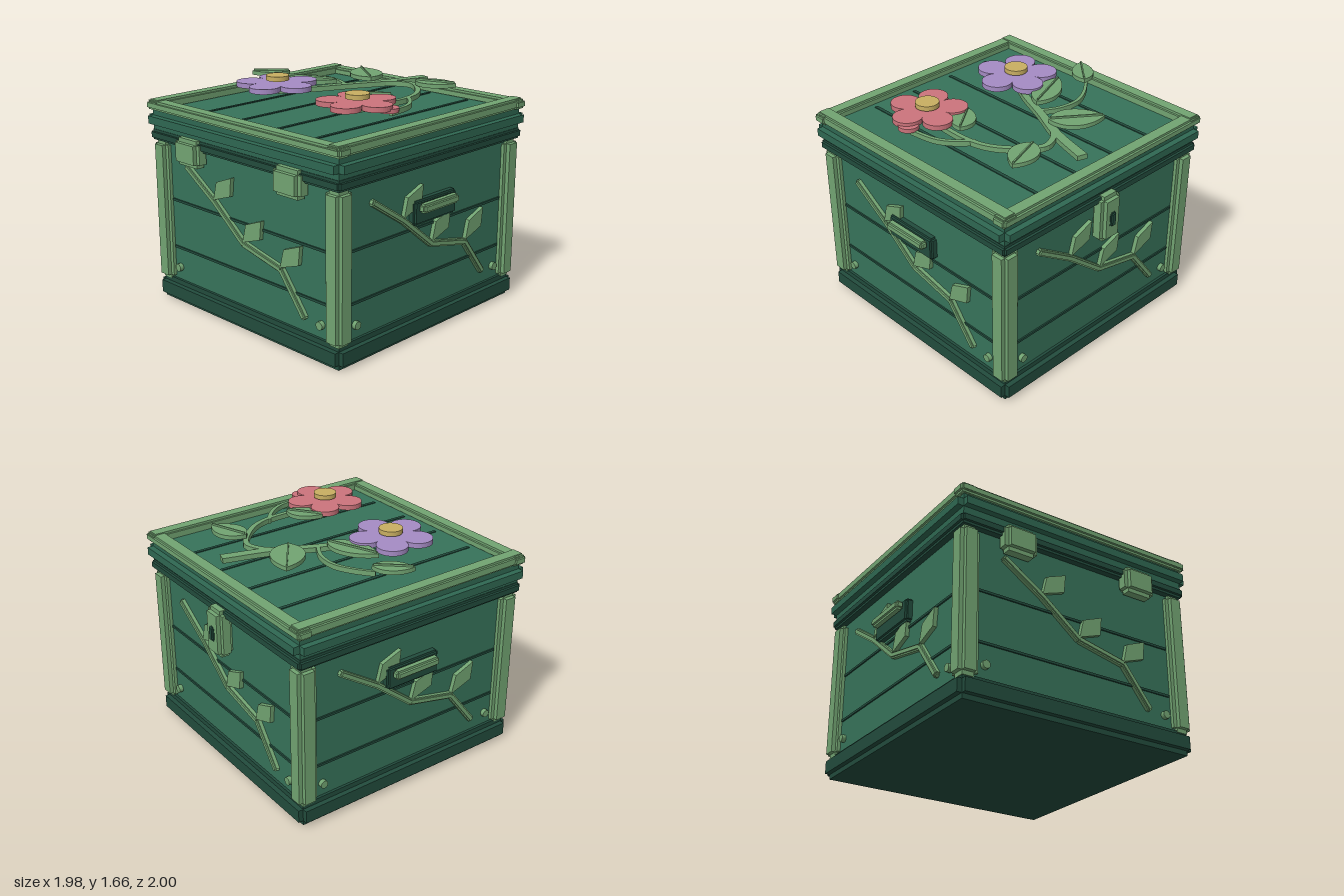
import * as THREE from 'three';
import { mergeGeometries } from 'three/addons/utils/BufferGeometryUtils.js';

const material = (name, color) => {
  const m = new THREE.MeshStandardMaterial({ color });
  m.name = name;
  return m;
};

export function createModel() {
  const panelGreen = material('panel green', 0x37735a);
  const lidGreen = material('lid green', 0x2f6852);
  const darkGreen = material('dark green', 0x224c3d);
  const leafGreen = material('leaf green', 0x72a472);
  const purple = material('petal purple', 0xa58bc4);
  const pink = material('petal pink', 0xcc747c);
  const gold = material('flower gold', 0xc9af62);

  const model = new THREE.Group();
  const chest = new THREE.Group();
  chest.name = 'chest';
  chest.position.z = 0.013;
  model.add(chest);

  const add = (parent, name, geometry, mat, x = 0, y = 0, z = 0) => {
    const mesh = new THREE.Mesh(geometry, mat);
    mesh.name = name;
    mesh.position.set(x, y, z);
    parent.add(mesh);
    return mesh;
  };
  // Block with stepped edges: three crossed boxes, each inset on two axes
  const stepped = (w, h, d, b) => mergeGeometries([
    new THREE.BoxGeometry(w, h - 2 * b, d - 2 * b),
    new THREE.BoxGeometry(w - 2 * b, h, d - 2 * b),
    new THREE.BoxGeometry(w - 2 * b, h - 2 * b, d),
  ]);
  const box = (w, h, d) => new THREE.BoxGeometry(w, h, d);

  // Main body, base, rim and lid
  add(chest, 'body', box(1.76, 1.1, 1.76), panelGreen, 0, 0.69);
  add(chest, 'base', stepped(1.87, 0.166, 1.87, 0.036), darkGreen, 0, 0.083);
  add(chest, 'rim', stepped(1.886, 0.076, 1.886, 0.018), darkGreen, 0, 1.243);
  add(chest, 'lid', stepped(1.936, 0.146, 1.936, 0.045), lidGreen, 0, 1.355);
  add(chest, 'lidPanel', box(1.72, 0.012, 1.72), panelGreen, 0, 1.43);
  for (const x of [-0.535, -0.18, 0.175, 0.53]) {
    add(chest, 'lidGroove', box(0.025, 0.016, 1.63), darkGreen, x, 1.434, -0.008);
  }

  // Raised lid frame and corner posts
  for (const s of [-1, 1]) {
    add(chest, 'lidFrameLong', stepped(1.92, 0.066, 0.112, 0.016), leafGreen, 0, 1.458, s * 0.9);
    add(chest, 'lidFrameSide', stepped(0.112, 0.076, 1.9, 0.016), leafGreen, s * 0.89, 1.462, 0);
    for (const t of [-1, 1]) {
      add(chest, 'cornerPost', stepped(0.145, 1.05, 0.145, 0.03), leafGreen, s * 0.862, 0.68, t * 0.862);
    }
  }

  // Each wall carries grooves, studs and a leafy twig
  const twig = [[-0.59, 1.06], [-0.295, 0.868], [0, 0.632], [0.37, 0.55], [0.585, 0.27]];
  const wallLeaf = new THREE.Shape([[0, 0], [0.035, 0.135], [0.19, 0.195], [0.175, 0.06]]
    .map(([x, y]) => new THREE.Vector2(x, y)));
  for (let i = 0; i < 4; i++) {
    const wall = new THREE.Group();
    wall.name = 'wallDecoration';
    wall.rotation.y = i * Math.PI / 2;
    chest.add(wall);
    for (const y of [0.415, 0.775]) add(wall, 'wallGroove', box(1.56, 0.017, 0.02), darkGreen, 0, y, 0.88);
    for (const s of [-1, 1]) {
      const stud = add(wall, 'stud', new THREE.CylinderGeometry(0.029, 0.029, 0.05, 10), leafGreen, s * 0.73, 0.262, 0.885);
      stud.rotation.x = Math.PI / 2;
    }
    for (let k = 0; k < 4; k++) {
      const [ax, ay] = twig[k], [bx, by] = twig[k + 1];
      const len = Math.hypot(bx - ax, by - ay) + 0.02;
      const piece = add(wall, 'twig', stepped(len, 0.046, 0.07, 0.01), leafGreen, (ax + bx) / 2, (ay + by) / 2, 0.88);
      piece.rotation.z = Math.atan2(by - ay, bx - ax);
      if (k > 0) {
        add(wall, 'twigLeaf', new THREE.ExtrudeGeometry(wallLeaf, { depth: 0.035, bevelEnabled: false }),
          leafGreen, ax, ay + 0.015, 0.875);
      }
    }
  }

  // Front hinges, back clasp and side handles
  for (const s of [-1, 1]) {
    add(model, 'hinge', stepped(0.254, 0.195, 0.12, 0.03), leafGreen, s * 0.5, 1.188, 0.94);
    add(model, 'handlePlate', stepped(0.08, 0.172, 0.44, 0.016), darkGreen, s * 0.89, 0.895, 0.005);
    add(model, 'handleBar', stepped(0.064, 0.064, 0.37, 0.016), leafGreen, s * 0.956, 0.932, 0.005);
  }
  add(model, 'clasp', stepped(0.18, 0.35, 0.12, 0.03), leafGreen, 0, 1.095, -0.925);
  add(model, 'claspKeyhole', stepped(0.054, 0.11, 0.04, 0.012), darkGreen, 0, 1.09, -0.98);

  // Flat pieces lying on the lid; shapes are drawn in x and z
  const flat = (name, shape, top, depth, mat) => {
    const g = new THREE.ExtrudeGeometry(shape, { depth, bevelEnabled: false, curveSegments: 14 });
    add(model, name, g.rotateX(Math.PI / 2), mat, 0, top);
  };
  // Tapering ribbon along a smooth path
  const stem = (points, w0, w1) => {
    const curve = new THREE.SplineCurve(points.map(([x, z]) => new THREE.Vector2(x, z)));
    const left = [], right = [], n = 28;
    for (let i = 0; i <= n; i++) {
      const p = curve.getPoint(i / n), t = curve.getTangent(i / n);
      const w = THREE.MathUtils.lerp(w0, w1, i / n) / 2;
      left.push(new THREE.Vector2(p.x - t.y * w, p.y + t.x * w));
      right.unshift(new THREE.Vector2(p.x + t.y * w, p.y - t.x * w));
    }
    flat('vineStem', new THREE.Shape([...left, ...right]), 1.56, 0.036, leafGreen);
  };
  stem([[0.13, -0.81], [0.04, -0.5], [-0.09, -0.22], [-0.2, 0.04], [-0.33, 0.27]], 0.075, 0.04);
  stem([[-0.1, -0.18], [-0.24, -0.255], [-0.4, -0.27], [-0.54, -0.21], [-0.66, -0.12]], 0.028, 0.022);
  stem([[0, -0.42], [0.1, -0.52], [0.24, -0.545], [0.43, -0.37], [0.51, -0.18], [0.515, 0.08], [0.48, 0.3]], 0.045, 0.03);
  stem([[0.49, -0.19], [0.6, -0.09], [0.67, 0.03], [0.7, 0.22]], 0.03, 0.025);

  // Pointed leaf from base to tip, with a raised midrib
  const leaf = (bx, bz, tx, tz, half) => {
    const dx = tx - bx, dz = tz - bz, len = Math.hypot(dx, dz);
    const at = (u, v) => [bx + dx * u - dz / len * v, bz + dz * u + dx / len * v];
    const bulge = half * 1.33;
    const shape = new THREE.Shape();
    shape.moveTo(bx, bz);
    shape.bezierCurveTo(...at(0.18, bulge), ...at(0.68, bulge), tx, tz);
    shape.bezierCurveTo(...at(0.68, -bulge), ...at(0.18, -bulge), bx, bz);
    flat('vineLeaf', shape, 1.595, 0.03, leafGreen);
    const rib = [at(0.04, 0.005), at(0.96, 0.005), at(0.96, -0.005), at(0.04, -0.005)];
    flat('leafRib', new THREE.Shape(rib.map(([x, z]) => new THREE.Vector2(x, z))), 1.608, 0.02, leafGreen);
  };
  leaf(-0.63, -0.13, -0.82, 0.08, 0.078);
  leaf(-0.015, -0.365, -0.33, -0.595, 0.12);
  leaf(-0.14, -0.13, -0.52, 0.02, 0.095);
  leaf(0.28, -0.515, 0.575, -0.62, 0.1);
  leaf(0.49, -0.035, 0.265, 0.13, 0.085);

  // Five round petals around a gold button
  const flower = (name, x, z, R, mat) => {
    const shape = new THREE.Shape();
    const r = R * Math.sin(Math.PI / 5), spread = Math.PI * 0.7;
    for (let i = 0; i < 5; i++) {
      const a = i * Math.PI * 0.4;
      shape.absarc(x + R * Math.cos(a), z + R * Math.sin(a), r, a - spread * 0.995, a + spread * 0.995, false);
    }
    flat(name, shape, 1.61, 0.036, mat);
    add(model, 'flowerCentre', new THREE.CylinderGeometry(0.083, 0.083, 0.034, 28), gold, x, 1.641, z);
  };
  flower('purpleFlower', -0.333, 0.27, 0.187, purple);
  flower('pinkFlower', 0.48, 0.305, 0.176, pink);
  add(model, 'pinkBud', new THREE.CylinderGeometry(0.072, 0.072, 0.03, 24), pink, 0.7, 1.572, 0.245);

  return model;
}
